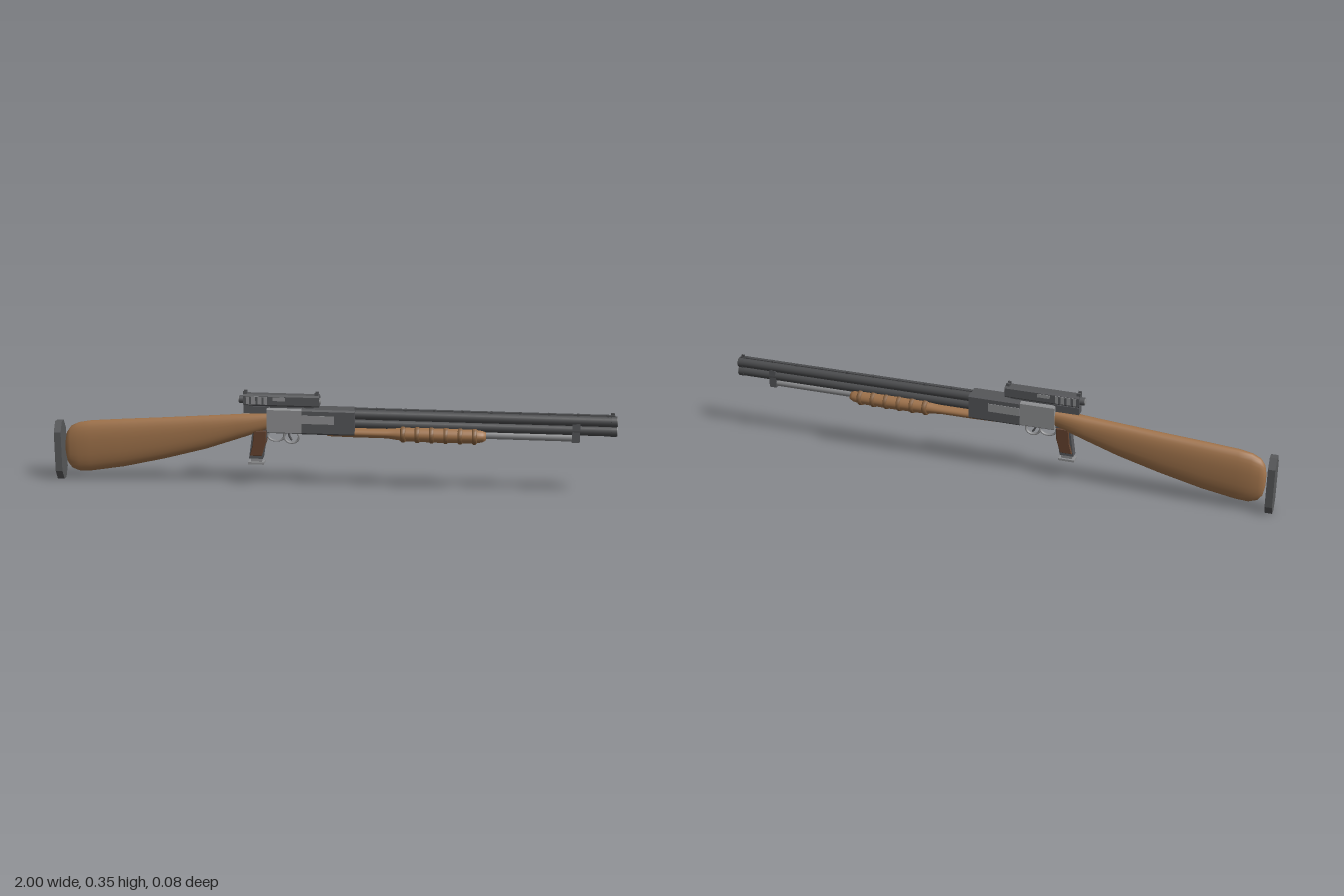
import * as THREE from 'three';

const mat = (name, color, side = THREE.FrontSide) => {
  const m = new THREE.MeshStandardMaterial({ color, side });
  m.name = name;
  return m;
};

export function createModel() {
  const group = new THREE.Group();
  const wood = mat('wood', 0xa0734b);
  const ridgeWood = mat('ridge wood', 0x85603e);
  const darkWood = mat('dark wood', 0x65432f);
  const steel = mat('dark steel', 0x555659);
  const blued = mat('blued barrel', 0x4b4c4e);
  const bright = mat('bright steel', 0x8f9092);
  const rubber = mat('rubber', 0x58595b);

  const add = (name, geo, material, x = 0, y = 0, z = 0) => {
    const m = new THREE.Mesh(geo, material);
    m.name = name;
    m.position.set(x, y, z);
    group.add(m);
    return m;
  };
  // Box given by its limits in x and y and its full width
  const box = (name, material, x0, x1, y0, y1, w, z = 0) =>
    add(name, new THREE.BoxGeometry(x1 - x0, y1 - y0, w), material, (x0 + x1) / 2, (y0 + y1) / 2, z);
  // Cylinder along x
  const tube = (name, material, x0, x1, y, r, n = 20, z = 0) =>
    add(name, new THREE.CylinderGeometry(r, r, x1 - x0, n).rotateZ(-Math.PI / 2), material, (x0 + x1) / 2, y, z);
  // Side outline extruded across z
  const plate = (name, material, pts, w, z = 0, bevel = 0) => {
    const s = new THREE.Shape(pts.map(p => new THREE.Vector2(...p)));
    const d = w - 2 * bevel;
    const g = new THREE.ExtrudeGeometry(s, {
      depth: d, bevelEnabled: bevel > 0, bevelSize: bevel, bevelOffset: -bevel, bevelThickness: bevel, bevelSegments: 1
    });
    return add(name, g.translate(0, 0, -d / 2), material, 0, 0, z);
  };
  // Cross-section extruded along x; points are (z, y)
  const beam = (name, material, pts, x0, x1) => {
    const s = new THREE.Shape(pts.map(p => new THREE.Vector2(-p[0], p[1])));
    const g = new THREE.ExtrudeGeometry(s, { depth: x1 - x0, bevelEnabled: false }).rotateY(Math.PI / 2);
    return add(name, g, material, x0, 0, 0);
  };
  const chamfered = (w, y0, y1, c, b = c) => [
    [-w + b, y0], [w - b, y0], [w, y0 + c], [w, y1 - c], [w - b, y1], [-w + b, y1], [-w, y1 - c], [-w, y0 + c]
  ];
  // Smooth loft along x from sections [x, bottom, top, halfWidth]
  const loft = (name, material, sections, n = 28, power = 2) => {
    const pos = [], idx = [];
    const round = v => Math.sign(v) * Math.abs(v) ** (2 / power);
    for (const [x, y0, y1, w] of sections)
      for (let j = 0; j < n; j++) {
        const a = j / n * Math.PI * 2;
        pos.push(x, (y0 + y1) / 2 + round(Math.cos(a)) * (y1 - y0) / 2, round(Math.sin(a)) * w);
      }
    const last = sections.length - 1;
    for (let i = 0; i < last; i++)
      for (let j = 0; j < n; j++) {
        const k = (j + 1) % n, a = i * n + j, b = i * n + k;
        idx.push(a, b, a + n, b, b + n, a + n);
      }
    for (let j = 1; j < n - 1; j++) {
      idx.push(0, j + 1, j);
      idx.push(last * n, last * n + j, last * n + j + 1);
    }
    const g = new THREE.BufferGeometry();
    g.setAttribute('position', new THREE.Float32BufferAttribute(pos, 3));
    g.setIndex(idx);
    g.computeVertexNormals();
    return add(name, g, material);
  };

  // Butt pad and shoulder stock
  beam('buttPad', rubber, chamfered(0.035, 0, 0.215, 0.035, 0.022), -1, -0.975);
  loft('stock', wood, [
    [-0.966, 0.09, 0.145, 0.012], [-0.96, 0.06, 0.175, 0.02], [-0.945, 0.04, 0.197, 0.026],
    [-0.915, 0.029, 0.212, 0.03], [-0.87, 0.032, 0.22, 0.033], [-0.75, 0.052, 0.229, 0.033],
    [-0.6, 0.087, 0.239, 0.031], [-0.45, 0.128, 0.25, 0.029], [-0.33, 0.17, 0.259, 0.028], [-0.22, 0.21, 0.268, 0.026]
  ], 28, 2.3);

  // Pistol grip with wooden side panels and a stepped foot
  plate('gripFrame', steel, [[-0.293, 0.1], [-0.243, 0.1], [-0.226, 0.21], [-0.278, 0.21]], 0.028);
  for (const s of [-1, 1])
    plate('gripPanel', darkWood, [[-0.289, 0.112], [-0.246, 0.112], [-0.23, 0.165], [-0.229, 0.205], [-0.274, 0.205], [-0.279, 0.15]],
      0.008, s * 0.017, 0.002);
  box('gripCollar', bright, -0.287, -0.247, 0.088, 0.102, 0.022);
  box('gripFoot', bright, -0.297, -0.239, 0.079, 0.087, 0.034);

  // Receiver
  beam('rearReceiver', bright, chamfered(0.03, 0.2, 0.289, 0.004), -0.225, -0.1);
  beam('frontReceiver', steel, chamfered(0.035, 0.2, 0.291, 0.006), -0.1, 0.088);
  for (const s of [-1, 1]) box('ejectionPlate', bright, -0.1, 0.015, 0.24, 0.27, 0.003, s * 0.0355);
  box('rearTang', steel, -0.31, -0.22, 0.268, 0.294, 0.034);

  // Trigger guard rings and trigger
  const ring = (x, y, rx, ry) => {
    const m = add('triggerGuard', new THREE.TorusGeometry(1, 0.16, 8, 24), bright, x, y, 0);
    m.scale.set(rx, ry, 0.04);
  };
  ring(-0.196, 0.186, 0.03, 0.021);
  ring(-0.14, 0.182, 0.026, 0.023);
  const curve = new THREE.QuadraticBezierCurve3(
    new THREE.Vector3(-0.15, 0.202, 0), new THREE.Vector3(-0.152, 0.182, 0), new THREE.Vector3(-0.138, 0.17, 0));
  add('trigger', new THREE.TubeGeometry(curve, 8, 0.004, 6), steel);

  // Barrels, magazine tube and bands
  tube('upperBarrel', blued, 0.08, 0.998, 0.271, 0.0185);
  tube('lowerBarrel', blued, 0.08, 0.998, 0.238, 0.0185);
  tube('magazineTube', bright, 0.1, 0.87, 0.211, 0.0145);
  for (const y of [0.271, 0.238]) {
    tube('muzzleFace', bright, 0.996, 1, y, 0.0175);
    tube('muzzleRing', blued, 0.978, 0.997, y, 0.0198);
  }
  box('barrelBand', steel, 0.845, 0.872, 0.196, 0.262, 0.036);
  box('topRib', blued, 0.085, 0.99, 0.291, 0.2945, 0.014);
  for (let i = 0; i < 9; i++) box('ribPost', blued, 0.16 + i * 0.1, 0.168 + i * 0.1, 0.286, 0.296, 0.01);
  box('frontSight', blued, 0.976, 0.988, 0.29, 0.302, 0.006);

  // Sliding fore-end with raised ridges
  loft('foreEnd', wood, [
    [-0.01, 0.19, 0.222, 0.028], [0.08, 0.189, 0.226, 0.033], [0.2, 0.189, 0.227, 0.034], [0.235, 0.184, 0.232, 0.036],
    [0.27, 0.18, 0.236, 0.039], [0.4, 0.178, 0.237, 0.04], [0.51, 0.18, 0.236, 0.039], [0.535, 0.185, 0.231, 0.036],
    [0.547, 0.192, 0.224, 0.03]
  ]);
  for (let i = 0; i < 6; i++) {
    const x = 0.248 + i * 0.05;
    loft('ridge', ridgeWood, [
      [x, 0.18, 0.236, 0.038], [x + 0.005, 0.175, 0.2395, 0.042], [x + 0.014, 0.175, 0.2395, 0.042], [x + 0.019, 0.18, 0.236, 0.038]
    ]);
  }

  // Box sight on top
  beam('sightBody', steel, chamfered(0.02, 0.295, 0.337, 0.006), -0.31, -0.04);
  box('sightMount', steel, -0.29, -0.06, 0.286, 0.297, 0.024);
  for (const s of [-1, 1]) {
    box('sightSidePlate', bright, -0.3, -0.225, 0.302, 0.33, 0.003, s * 0.0203);
    box('sightLabelPlate', bright, -0.205, -0.16, 0.316, 0.329, 0.003, s * 0.0203);
    for (const x of [-0.285, -0.262, -0.24]) box('sightSlot', steel, x - 0.004, x + 0.004, 0.303, 0.329, 0.003, s * 0.0215);
  }
  tube('frontLens', bright, -0.042, -0.036, 0.315, 0.0115);
  tube('rearEyepiece', steel, -0.326, -0.308, 0.315, 0.014);
  tube('rearLens', bright, -0.329, -0.325, 0.315, 0.0115);
  for (const x of [-0.305, -0.05])
    for (const z of [-0.01, 0, 0.01]) box('sightPost', steel, x - 0.006, x + 0.006, 0.335, z ? 0.347 : 0.344, 0.005, z);

  return group;
}
